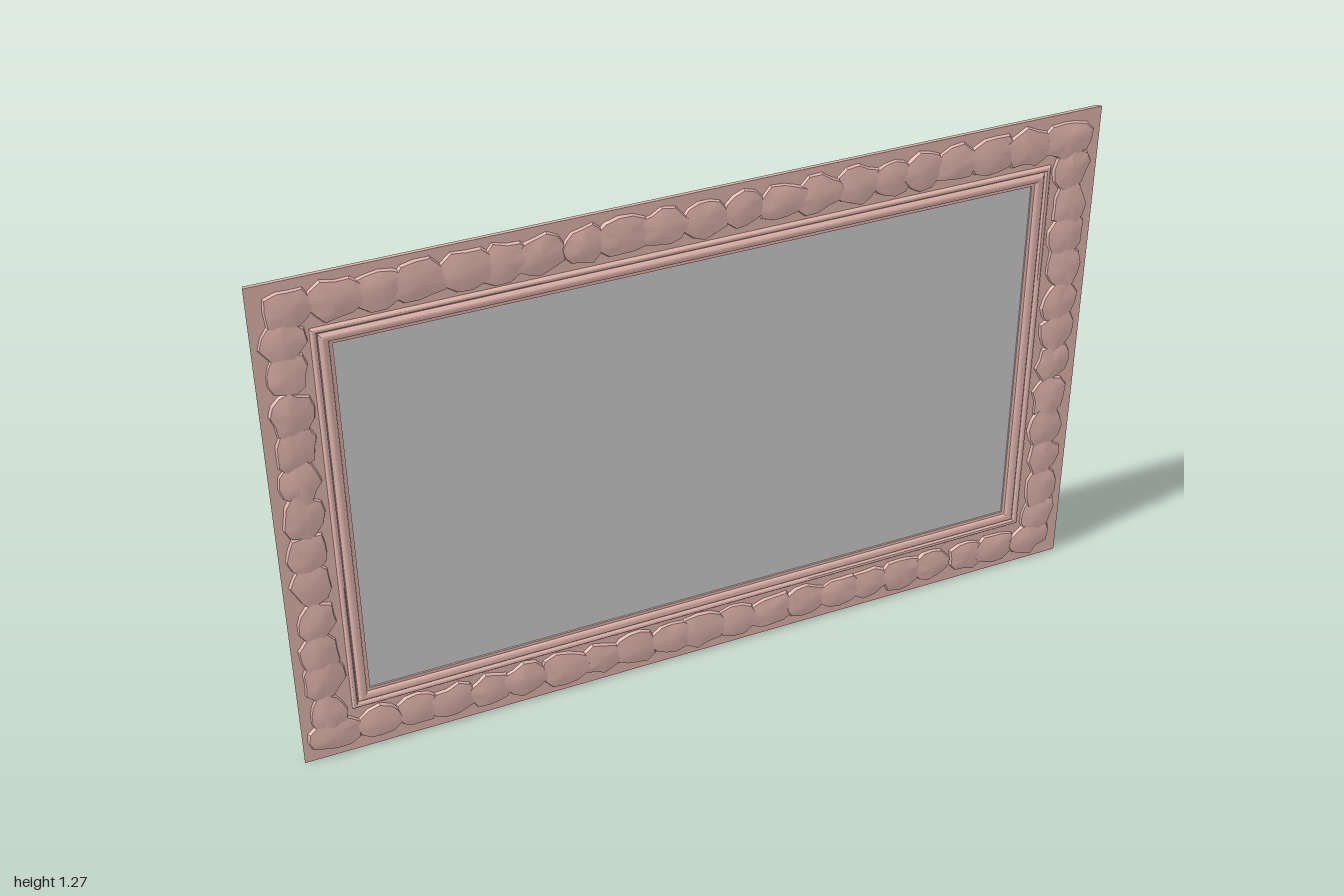
import * as THREE from 'three';
import { mergeGeometries, toCreasedNormals } from 'three/addons/utils/BufferGeometryUtils.js';

const W = 1, H = 0.635; // half width and half height

// Small seeded random for the carved pieces
let seed = 7;
const rnd = (a, b) => {
  seed = (seed * 16807) % 2147483647;
  return a + (b - a) * seed / 2147483647;
};

function fromTriangles(pos, crease) {
  const g = new THREE.BufferGeometry();
  g.setAttribute('position', new THREE.Float32BufferAttribute(pos, 3));
  return toCreasedNormals(g, crease);
}

// Sweeps a closed section of [inset, z] points round the rectangle with mitred corners
function mitredRing(section) {
  const corners = [[-1, -1], [1, -1], [1, 1], [-1, 1]];
  const pos = [];
  const at = (c, [d, z]) => [corners[c][0] * (W - d), H + corners[c][1] * (H - d), z];
  for (let c = 0; c < 4; c++) {
    const n = (c + 1) % 4;
    section.forEach((p, i) => {
      const q = section[(i + 1) % section.length];
      const [a, b, e, f] = [at(c, p), at(n, p), at(n, q), at(c, q)];
      pos.push(...a, ...b, ...e, ...a, ...e, ...f);
    });
  }
  return fromTriangles(pos, 0.7);
}

// Half-round bead between two insets; the sign of height picks front or back
function bead(d0, d1, base, height, n = 6) {
  const pts = [];
  for (let i = 0; i <= n; i++) {
    const t = Math.PI * i / n;
    pts.push([d0 + (d1 - d0) * (1 - Math.cos(t)) / 2, base + height * Math.sin(t)]);
  }
  return pts;
}

// Low chipped, tilted lump with an irregular outline
function carvedPiece(x, y, rx, ry) {
  const n = 13, tilt = rnd(-0.003, 0.003), spin = rnd(0, 1);
  const scales = [1, 0.93, 0.5], heights = [-0.002, 0.007, 0.0105];
  const edge = Array.from({ length: n }, () => rnd(0.78, 1.05));
  const rings = scales.map((s, k) => edge.map((r, i) => {
    const a = (i + spin) / n * Math.PI * 2;
    const u = Math.cos(a) * r * s, v = Math.sin(a) * r * s;
    const z = k ? heights[k] + tilt * u + rnd(-0.0012, 0.0012) : heights[0];
    return [x + u * rx, y + v * ry, z];
  }));
  const top = [x, y, 0.0115 + rnd(-0.001, 0.002)];
  const pos = [];
  for (let i = 0; i < n; i++) {
    const j = (i + 1) % n;
    for (let k = 0; k < 2; k++) {
      const [a, b, c, d] = [rings[k][i], rings[k][j], rings[k + 1][j], rings[k + 1][i]];
      pos.push(...a, ...b, ...c, ...a, ...c, ...d);
    }
    pos.push(...rings[2][i], ...rings[2][j], ...top);
  }
  return fromTriangles(pos, 0.5);
}

export function createModel() {
  const group = new THREE.Group();
  const frameMaterial = new THREE.MeshStandardMaterial({ color: 0xe0b4ad });
  const add = (name, geometry, material) => {
    const mesh = new THREE.Mesh(geometry, material);
    mesh.name = name;
    group.add(mesh);
  };

  // Flat outer board with slightly tapered sides
  add('frameBoard', mitredRing([
    [0, 0], [0.132, 0], [0.132, -0.006], [0.125, -0.016], [0.004, -0.016],
  ]), frameMaterial);

  // Inner moulding: two beads in front, one at the back
  add('innerMoulding', mitredRing([
    ...bead(0.124, 0.138, 0.001, 0.007),
    ...bead(0.14, 0.162, 0.001, 0.009),
    [0.17, 0.001], [0.17, -0.006],
    ...bead(0.14, 0.165, -0.006, -0.006).reverse(),
    [0.124, -0.006],
  ]), frameMaterial);

  // Carved pieces overlapping along all four sides
  const pieces = [];
  const mid = 0.066;
  for (const side of [-1, 1]) {
    for (let i = 0; i < 21; i++) {
      const x = -0.91 + i * 0.091 + rnd(-0.01, 0.01);
      pieces.push(carvedPiece(x, H + side * (H - mid), rnd(0.06, 0.075), rnd(0.05, 0.055)));
    }
    for (let i = 0; i < 12; i++) {
      const y = 0.135 + i * 0.091 + rnd(-0.01, 0.01);
      pieces.push(carvedPiece(side * (W - mid), y, rnd(0.05, 0.055), rnd(0.06, 0.075)));
    }
  }
  add('carvedRelief', mergeGeometries(pieces), frameMaterial);

  // Grey panel set inside the moulding
  const panel = new THREE.PlaneGeometry(2 * (W - 0.165), 2 * (H - 0.165));
  panel.translate(0, H, -0.003);
  add('panel', panel, new THREE.MeshStandardMaterial({ color: 0xcccccc, side: THREE.DoubleSide }));

  return group;
}
